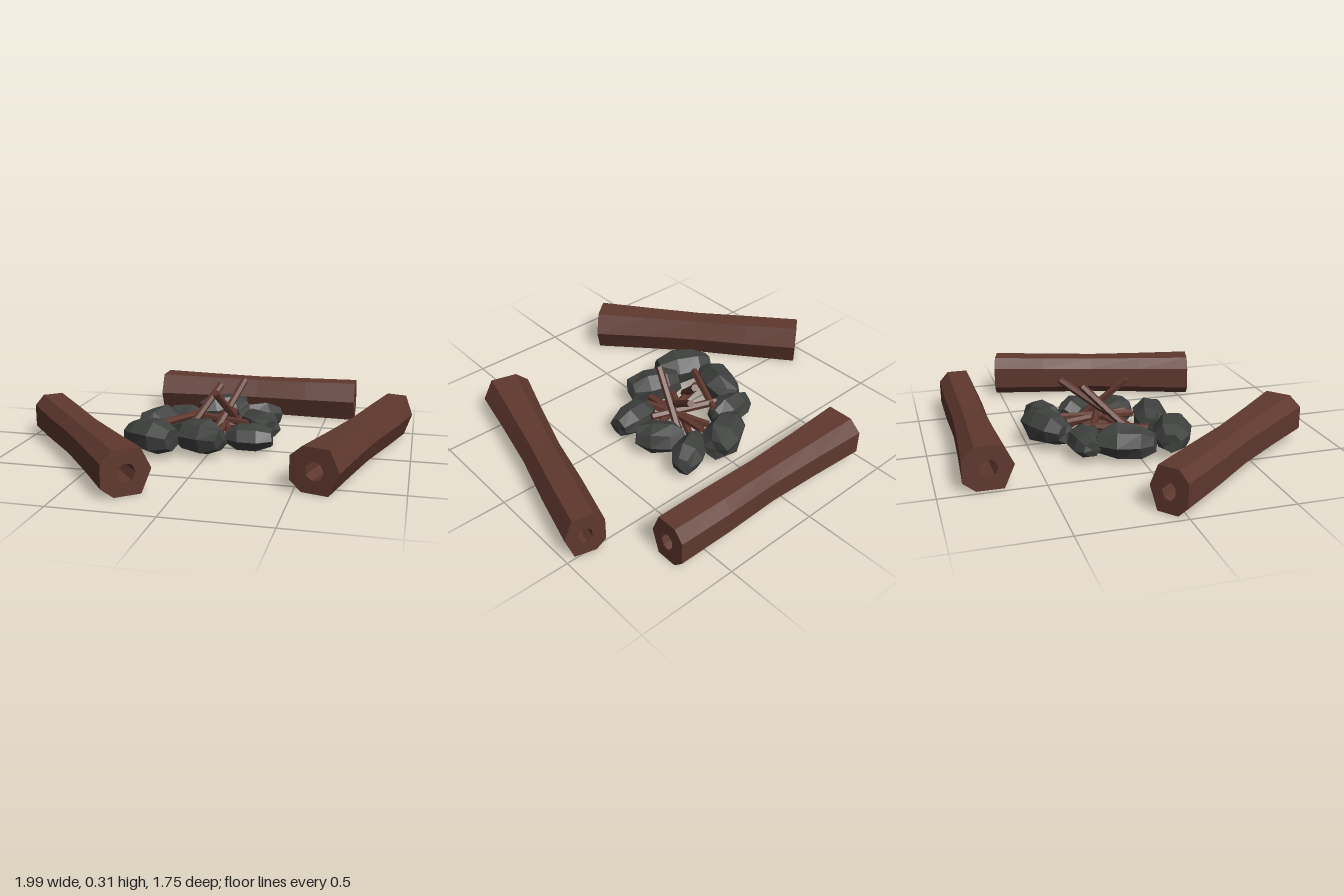
import * as THREE from 'three';

const bark = new THREE.MeshStandardMaterial({ color: 0x5f382e, flatShading: true });
const rock = new THREE.MeshStandardMaterial({ color: 0x3f413f, flatShading: true });

// Hollow seven-sided log, extruded along +z and pinched in the middle
function logGeometry(length) {
  const mid = 0.108;
  const outline = [[-0.12, 0.115], [-0.07, 0.002], [0.06, 0.002], [0.12, 0.05], [0.12, 0.165], [0.06, 0.217], [-0.07, 0.217]];
  const shape = new THREE.Shape(outline.map(([x, y]) => new THREE.Vector2(x, y)));
  const hole = [];
  for (let i = 0; i < 7; i++) {
    const a = (-i / 7) * Math.PI * 2 + Math.PI;
    hole.push(new THREE.Vector2(Math.cos(a) * 0.045, mid + Math.sin(a) * 0.046));
  }
  shape.holes.push(new THREE.Path(hole));
  const geo = new THREE.ExtrudeGeometry(shape, { depth: length, steps: 4, bevelEnabled: false });
  const wide = [1, 0.86, 0.76, 0.81, 0.79];
  const tall = [1, 0.96, 0.93, 0.96, 1];
  const p = geo.attributes.position;
  for (let i = 0; i < p.count; i++) {
    const k = Math.round((p.getZ(i) / length) * 4);
    p.setX(i, p.getX(i) * wide[k]);
    p.setY(i, mid + (p.getY(i) - mid) * tall[k]);
  }
  geo.computeVertexNormals();
  return geo;
}

// Barrel-like faceted stone, long axis along x, slightly irregular
function stoneGeometry(length, height, width, seed) {
  const profile = [[0, -1], [0.52, -0.97], [0.9, -0.5], [1, 0.3], [0.62, 0.93], [0, 1]];
  const geo = new THREE.LatheGeometry(profile.map(([r, y]) => new THREE.Vector2(r, y)), 7, seed * 0.7);
  const p = geo.attributes.position;
  for (let i = 0; i < p.count; i++) {
    const x = p.getX(i), y = p.getY(i), z = p.getZ(i);
    const s = 1 + 0.06 * Math.sin(4 * x + 3 * y + 5 * z + seed * 2.3);
    p.setXYZ(i, x * s, y * s, z * s);
  }
  geo.rotateZ(-Math.PI / 2);
  geo.scale(length / 2, height / 2, width / 2);
  // Rest the lowest point just above the ground
  geo.computeBoundingBox();
  geo.translate(0, 0.008 - geo.boundingBox.min.y, 0);
  geo.computeVertexNormals();
  return geo;
}

// Thin straight stick between two points
function stick(a, b, radius) {
  const from = new THREE.Vector3(...a), to = new THREE.Vector3(...b);
  const dir = to.clone().sub(from);
  const mesh = new THREE.Mesh(new THREE.CylinderGeometry(radius, radius * 1.1, dir.length(), 6), bark);
  mesh.position.copy(from).add(to).multiplyScalar(0.5);
  mesh.quaternion.setFromUnitVectors(new THREE.Vector3(0, 1, 0), dir.normalize());
  mesh.name = 'stick';
  return mesh;
}

export function createModel() {
  const model = new THREE.Group();
  model.name = 'campfire';

  // Seating logs: thick end and thin end as [x, z]
  const logs = [
    ['backLog', [-0.475, -0.762], [0.66, -0.765]],
    ['rightLog', [-0.2, 0.795], [-0.925, -0.07]],
    ['leftLog', [0.595, 0.58], [0.9, -0.505]],
  ];
  for (const [name, a, b] of logs) {
    const dx = b[0] - a[0], dz = b[1] - a[1];
    const mesh = new THREE.Mesh(logGeometry(Math.hypot(dx, dz)), bark);
    mesh.position.set(a[0], 0, a[1]);
    mesh.rotation.y = Math.atan2(dx, dz);
    mesh.name = name;
    model.add(mesh);
  }

  // Ring of stones: x, z, length, height, width, turn
  const ring = new THREE.Group();
  ring.name = 'stoneRing';
  const stones = [
    [-0.035, -0.4, 0.28, 0.18, 0.19, 0.5],
    [0.17, -0.375, 0.25, 0.16, 0.16, 0.45],
    [0.205, -0.19, 0.24, 0.16, 0.18, -0.8],
    [0.195, 0.02, 0.24, 0.15, 0.18, 0.1],
    [-0.04, 0.14, 0.28, 0.185, 0.19, -0.35],
    [-0.28, 0.18, 0.29, 0.18, 0.2, -0.4],
    [-0.315, -0.07, 0.29, 0.18, 0.2, 1.25],
    [-0.22, -0.25, 0.24, 0.15, 0.17, 0.05],
  ];
  stones.forEach(([x, z, l, h, w, turn], i) => {
    const mesh = new THREE.Mesh(stoneGeometry(l, h, w, i + 1), rock);
    mesh.position.set(x, 0, z);
    mesh.rotation.y = turn;
    mesh.name = 'stone';
    ring.add(mesh);
  });
  model.add(ring);

  // Firewood: three leaning sticks, then the low crossed ones
  const wood = new THREE.Group();
  wood.name = 'firewood';
  const sticks = [
    [[-0.02, 0.03, 0.06], [0.1, 0.3, -0.3]],
    [[0.11, 0.04, -0.25], [0.015, 0.3, 0.03]],
    [[-0.16, 0.05, 0.03], [-0.01, 0.29, -0.21]],
    [[-0.26, 0.13, 0.06], [-0.12, 0.12, -0.24]],
    [[-0.17, 0.12, -0.2], [0.16, 0.12, -0.08]],
    [[0.04, 0.1, 0.07], [0.04, 0.12, -0.32]],
    [[0.09, 0.1, 0.04], [-0.02, 0.11, -0.3]],
    [[-0.22, 0.09, 0.0], [0.15, 0.1, -0.13]],
    [[-0.1, 0.07, 0.06], [0.1, 0.09, -0.31]],
  ];
  for (const [a, b] of sticks) wood.add(stick(a, b, 0.019));
  model.add(wood);

  return model;
}
